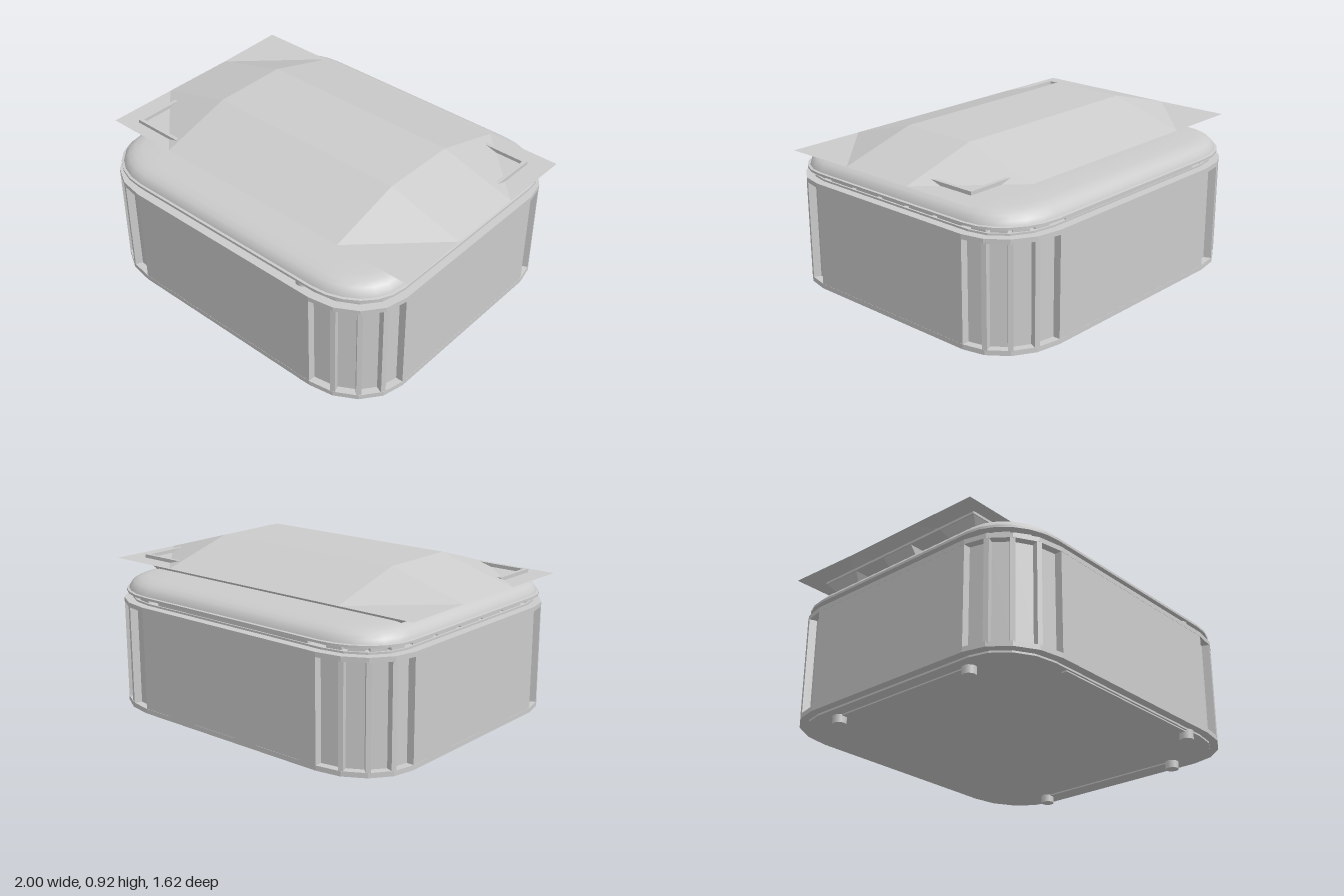
import * as THREE from 'three';
import { toCreasedNormals } from 'three/addons/utils/BufferGeometryUtils.js';

const SX = 0.59, SZ = 0.51, RX = 0.345, RZ = 0.30;

// Rounded-rectangle plan, shrunk evenly by inset
function outline(inset, seg = 4) {
  const pts = [];
  for (let c = 0; c < 4; c++) {
    const cx = (c === 0 || c === 3) ? SX : -SX;
    const cy = c < 2 ? SZ : -SZ;
    for (let i = 0; i <= seg; i++) {
      const t = (c + i / seg) * Math.PI / 2;
      pts.push(new THREE.Vector2(cx + (RX - inset) * Math.cos(t), cy + (RZ - inset) * Math.sin(t)));
    }
  }
  return pts;
}

export function createModel() {
  const group = new THREE.Group();
  const mat = new THREE.MeshStandardMaterial({ color: 0xcccccc });
  const thin = new THREE.MeshStandardMaterial({ color: 0xcccccc, side: THREE.DoubleSide });

  function add(name, geo, x = 0, y = 0, z = 0, ry = 0, m = mat) {
    const mesh = new THREE.Mesh(geo, m);
    mesh.name = name;
    mesh.position.set(x, y, z);
    mesh.rotation.y = ry;
    group.add(mesh);
    return mesh;
  }
  const box = (name, w, h, d, x, y, z, ry) => add(name, new THREE.BoxGeometry(w, h, d), x, y, z, ry);
  function slab(name, inset, y0, y1) {
    const geo = new THREE.ExtrudeGeometry(new THREE.Shape(outline(inset)), { depth: y1 - y0, bevelEnabled: false });
    geo.rotateX(-Math.PI / 2);
    return add(name, geo, 0, y0, 0);
  }

  // Body: recessed core between a base and a top rim
  slab('basePlate', 0.045, 0.042, 0.055);
  slab('baseRim', 0, 0.052, 0.078);
  slab('bodyCore', 0.04, 0.07, 0.62);
  slab('topRim', 0, 0.605, 0.63);
  for (const s of [-1, 1]) {
    box('longWall', 2 * SX, 0.54, 0.06, 0, 0.342, s * (SZ + RZ - 0.031));
    box('sideWall', 0.06, 0.54, 2 * SZ, s * (SX + RX - 0.031), 0.342, 0);
  }

  // Upright ribs dividing the corner recesses
  for (const sx of [-1, 1]) for (const sz of [-1, 1]) for (let i = 1; i < 4; i++) {
    const t = i * Math.PI / 8;
    box('cornerRib', 0.06, 0.54, 0.025,
      sx * (SX + (RX - 0.032) * Math.cos(t)), 0.342, sz * (SZ + (RZ - 0.032) * Math.sin(t)),
      -Math.atan2(sz * Math.sin(t), sx * Math.cos(t)));
  }

  // Vent gap between body and lid, with spacer blocks
  slab('ventCore', 0.085, 0.62, 0.68);
  slab('ventLedge', 0.045, 0.625, 0.64);
  for (const s of [-1, 1]) {
    for (let i = -2; i <= 2; i++) box('ventSpacer', 0.04, 0.03, 0.16, s * (SX + RX - 0.075), 0.655, i * 0.19);
    box('ventStrip', 1.02, 0.014, 0.05, 0, 0.652, s * (SZ + RZ - 0.065));
    for (const sz of [-1, 1]) for (let i = 0; i < 4; i++) {
      const t = (i + 0.5) * Math.PI / 8;
      box('ventSpacer', 0.04, 0.03, 0.08,
        s * (SX + (RX - 0.08) * Math.cos(t)), 0.655, sz * (SZ + (RZ - 0.08) * Math.sin(t)),
        -Math.atan2(sz * Math.sin(t), s * Math.cos(t)));
    }
  }

  // Domed lid: rings of [inset, height]
  const profile = [[0.26, 0.668], [0.015, 0.668], [0.015, 0.68], [0.028, 0.682], [0.035, 0.702], [0.055, 0.722],
    [0.085, 0.737], [0.13, 0.745], [0.26, 0.746]];
  const rings = profile.map(([inset, y]) => outline(inset, 6).map(p => new THREE.Vector3(p.x, y, -p.y)));
  const pos = [];
  const n = rings[0].length;
  const tri = (...v) => v.forEach(p => pos.push(p.x, p.y, p.z));
  for (let r = 0; r < rings.length - 1; r++) for (let i = 0; i < n; i++) {
    const j = (i + 1) % n, a = rings[r], b = rings[r + 1];
    tri(a[i], a[j], b[j]);
    tri(a[i], b[j], b[i]);
  }
  const top = rings[rings.length - 1], centre = new THREE.Vector3(0, 0.746, 0);
  for (let i = 0; i < n; i++) tri(centre, top[i], top[(i + 1) % n]);
  const lid = new THREE.BufferGeometry();
  lid.setAttribute('position', new THREE.Float32BufferAttribute(pos, 3));
  add('lid', toCreasedNormals(lid, 0.7));

  // Flared bars carrying the roof
  for (const [z, wTop, wBottom] of [[0.41, 0.23, 0.15], [0, 0.2, 0.18], [-0.41, 0.23, 0.15]]) {
    const bar = new THREE.BoxGeometry(1.78, 0.06, wTop);
    const p = bar.attributes.position;
    for (let i = 0; i < p.count; i++) if (p.getY(i) < 0) {
      p.setX(i, p.getX(i) * 0.93);
      p.setZ(i, p.getZ(i) * wBottom / wTop);
    }
    bar.computeVertexNormals();
    add('roofBar', bar, 0, 0.766, z);
  }
  box('roofPanel', 1.78, 0.012, 1.05, 0, 0.795, 0);

  // Folded sheet roof: raised middle, low outer border
  const xs = [-0.99, -0.57, 0.58, 0.99], zs = [-0.625, -0.22, 0.2, 0.595];
  const inner = i => i === 1 || i === 2;
  const v = (i, k) => {
    const x = xs[i] + (i === 0 && k === 0 ? -0.01 : 0) + (i === 3 && k === 3 ? 0.01 : 0);
    return [x, inner(i) && inner(k) ? 0.92 : 0.802, zs[k]];
  };
  const sheet = [];
  for (let i = 0; i < 3; i++) for (let k = 0; k < 3; k++) {
    const a = v(i, k), b = v(i, k + 1), c = v(i + 1, k + 1), d = v(i + 1, k);
    // Corner cells fold across the corner, so each tip stays level
    if (i === k) sheet.push(...a, ...b, ...d, ...b, ...c, ...d);
    else sheet.push(...a, ...b, ...c, ...a, ...c, ...d);
  }
  const roof = new THREE.BufferGeometry();
  roof.setAttribute('position', new THREE.Float32BufferAttribute(sheet, 3));
  roof.computeVertexNormals();
  add('roof', roof, 0, 0, 0, 0, thin);

  // Panel corners showing through two opposite roof corners
  for (const s of [-1, 1]) {
    box('cornerFrameEnd', 0.3, 0.025, 0.02, s * 0.73, 0.808, -s * 0.515);
    box('cornerFrameSide', 0.02, 0.025, 0.26, s * 0.87, 0.808, -s * 0.395);
  }

  // Feet and the runners joining them
  const foot = new THREE.CylinderGeometry(0.036, 0.036, 0.05, 12);
  for (const s of [-1, 1]) {
    box('sideRunner', 0.03, 0.014, 0.88, s * 0.81, 0.042, 0);
    for (const z of [-0.44, 0.44]) add('foot', foot, s * 0.81, 0.025, z);
  }
  box('frontRunner', 1.0, 0.014, 0.03, 0, 0.042, 0.74);
  add('frontFoot', foot, 0.5, 0.025, 0.74);
  add('ventKnob', foot, 0.5, 0.65, 0.745);

  return group;
}
